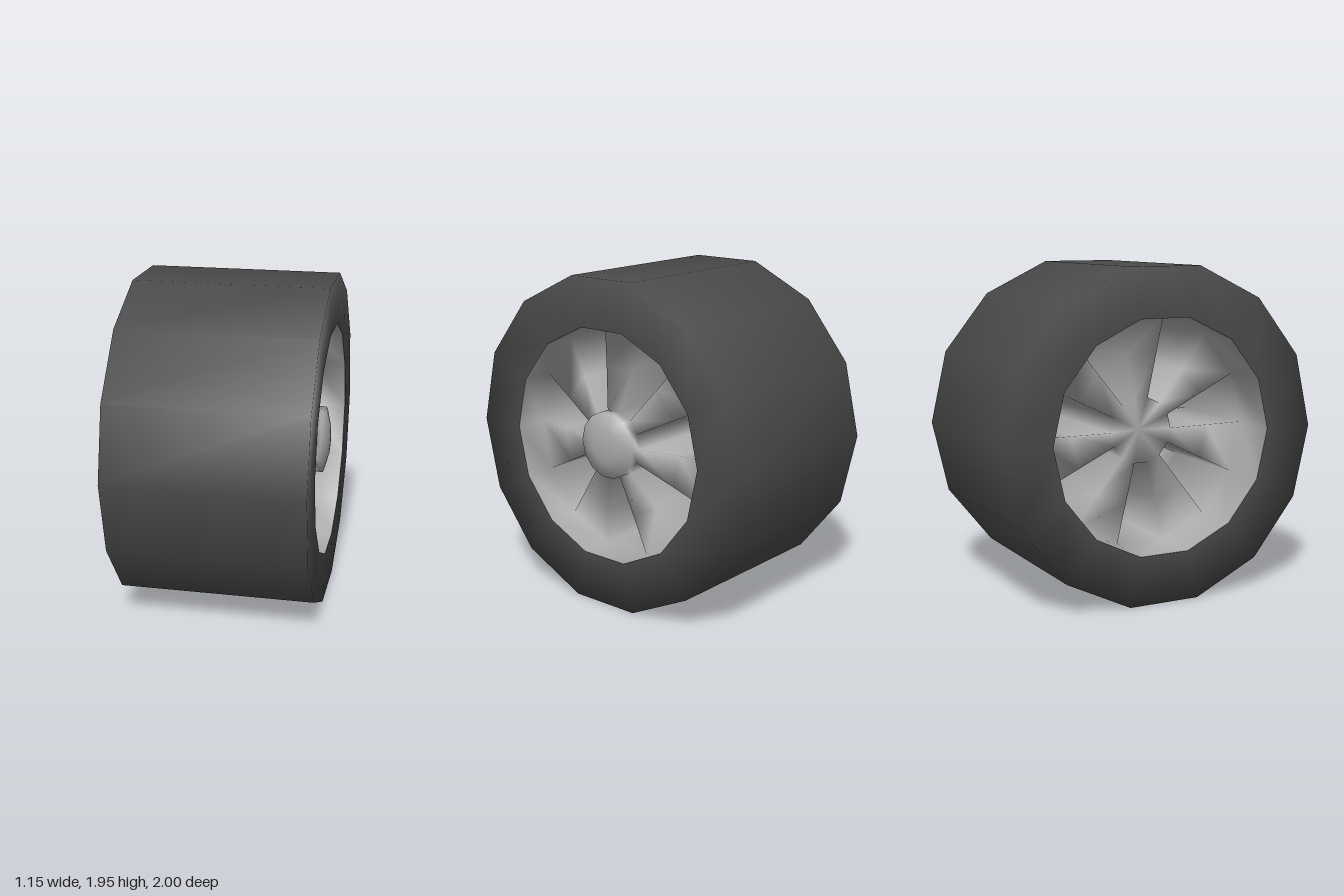
import * as THREE from 'three';
import { mergeVertices } from 'three/addons/utils/BufferGeometryUtils.js';

const SIDES = 14;
const CENTRE_Y = 0.975;
const HALF_WIDTH = 0.575;

const rubber = new THREE.MeshStandardMaterial({ color: 0x4a4a4a });
rubber.name = 'darkRubber';
const metal = new THREE.MeshStandardMaterial({ color: 0xacacac });
metal.name = 'greyMetal';

// Tyre: wide square-shouldered ring with smooth shading
function makeTyre() {
  const profile = [[0.7, -HALF_WIDTH], [1, -HALF_WIDTH], [1, HALF_WIDTH], [0.7, HALF_WIDTH]]
    .map(([r, x]) => new THREE.Vector2(r, x));
  const geometry = new THREE.LatheGeometry(profile, SIDES);
  geometry.rotateZ(-Math.PI / 2);
  const mesh = new THREE.Mesh(geometry, rubber);
  mesh.name = 'tyre';
  return mesh;
}

// Rim: barrel, hub and seven deep spokes, one for every second side.
// Profile points are [x along the axle, radius].
function makeRim() {
  const positions = [];
  const point = ([x, r], i) => {
    const a = ((i % SIDES) * 2 * Math.PI) / SIDES;
    return [x, r * Math.sin(a), r * Math.cos(a)];
  };
  const quad = (a, b, c, d) => positions.push(...a, ...b, ...c, ...a, ...c, ...d);
  const sweep = (chain, i) => {
    for (let k = 0; k + 1 < chain.length; k++) {
      const [p, q] = [chain[k], chain[k + 1]];
      quad(point(p, i), point(p, i + 1), point(q, i + 1), point(q, i));
    }
  };

  const front = [[0.48, 0.2], [0.425, 0.45], [0.375, 0.7]];
  const back = [[-0.285, 0.2], [-0.28, 0.45], [-0.275, 0.7]];
  const cap = [[0.572, 0], [0.562, 0.1], [0.535, 0.2]];
  const backCentre = [-0.25, 0];
  const backLip = [-HALF_WIDTH, 0.7];
  const frontLip = [HALF_WIDTH, 0.7];

  for (let i = 0; i < SIDES; i++) {
    if (i % 2 === 0) {
      // Open side: barrel wall and hub wall
      sweep([backLip, back[2], front[2], frontLip], i);
      sweep([...cap, front[0], back[0], backCentre], i);
      continue;
    }
    // Spoke side: front and back faces, then the two flanks
    sweep([...cap, ...front, frontLip], i);
    sweep([backLip, back[2], back[1], back[0], backCentre], i);
    for (let k = 0; k < 2; k++) {
      const corners = [back[k], front[k], front[k + 1], back[k + 1]];
      quad(...corners.map((p) => point(p, i)));
      quad(...corners.reverse().map((p) => point(p, i + 1)));
    }
  }

  let geometry = new THREE.BufferGeometry();
  geometry.setAttribute('position', new THREE.Float32BufferAttribute(positions, 3));
  geometry = mergeVertices(geometry, 1e-4);
  geometry.computeVertexNormals();
  const mesh = new THREE.Mesh(geometry, metal);
  mesh.name = 'spokedRim';
  return mesh;
}

export function createModel() {
  const wheel = new THREE.Group();
  wheel.name = 'wheel';
  wheel.add(makeTyre(), makeRim());
  wheel.children.forEach((part) => { part.position.y = CENTRE_Y; });
  return wheel;
}
